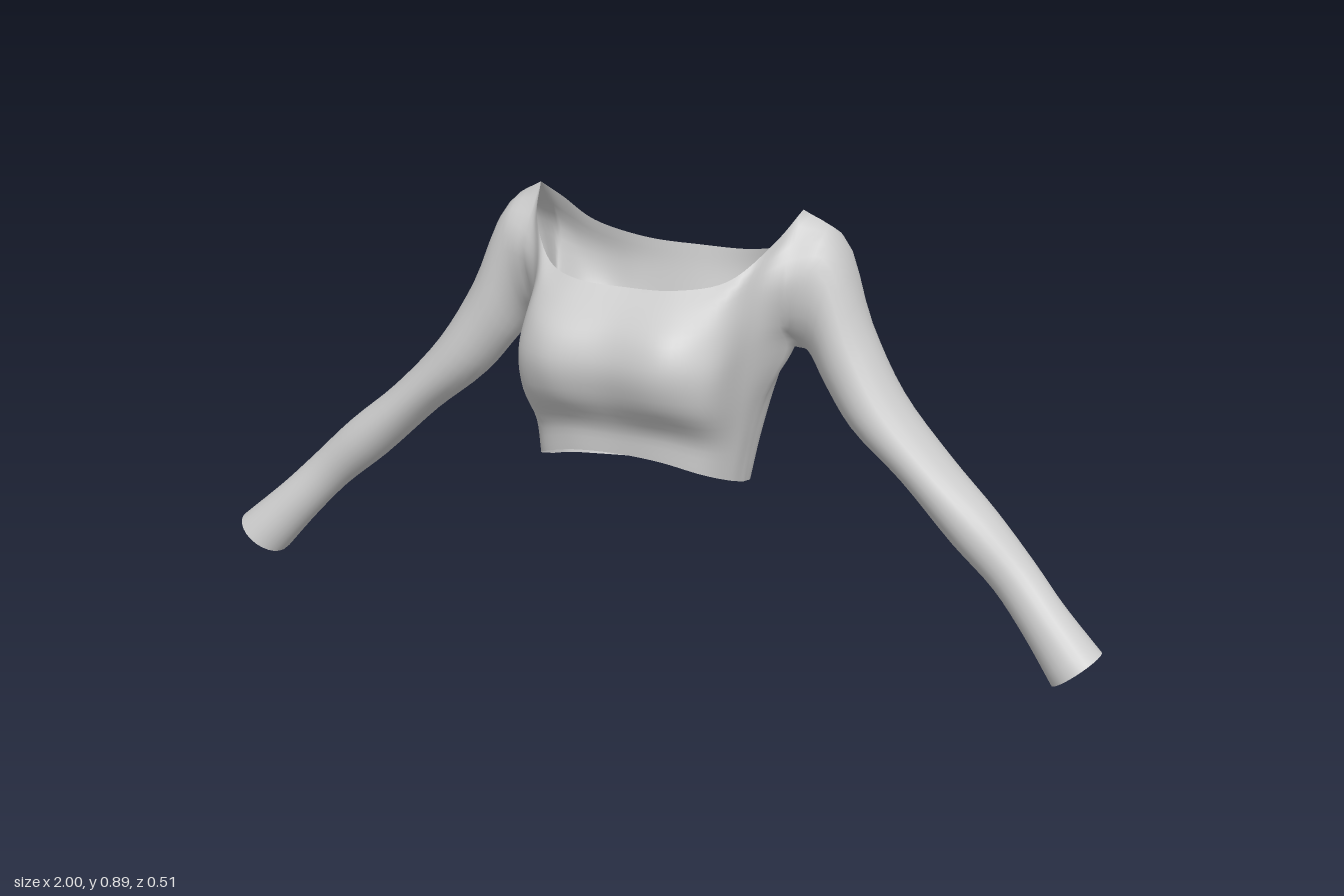
import * as THREE from 'three';
import { mergeVertices, mergeGeometries } from 'three/addons/utils/BufferGeometryUtils.js';

const SEG = 4; // subdivisions between two control rows

// Control rows run from the centre line to the side seam, from hem to neckline.
const FRONT = [
  [[0, .405, .18], [.1, .40, .18], [.18, .375, .15], [.215, .345, .08], [.22, .325, .02]],
  [[0, .46, .185], [.11, .46, .185], [.19, .44, .15], [.225, .42, .07], [.228, .41, 0]],
  [[0, .53, .225], [.12, .53, .235], [.205, .52, .19], [.235, .51, .07], [.245, .50, -.03]],
  [[0, .60, .24], [.13, .60, .25], [.215, .60, .19], [.243, .60, .06], [.29, .60, -.08]],
  [[0, .66, .22], [.13, .66, .23], [.21, .67, .16], [.25, .67, .045], [.29, .66, -.02]],
  [[0, .71, .175], [.12, .71, .18], [.20, .725, .12], [.255, .755, .03], [.30, .77, 0]],
  [[0, .745, .125], [.11, .75, .125], [.20, .765, .07], [.27, .835, -.01], [.30, .89, -.09]],
];
const BACK = [
  [[0, .305, -.105], [.1, .295, -.11], [.17, .295, -.095], [.21, .31, -.04], [.22, .325, .02]],
  [[0, .40, -.14], [.1, .40, -.145], [.18, .40, -.125], [.22, .40, -.07], [.228, .41, 0]],
  [[0, .50, -.175], [.11, .50, -.185], [.19, .50, -.17], [.235, .50, -.11], [.245, .50, -.03]],
  [[0, .59, -.21], [.12, .59, -.22], [.20, .59, -.21], [.25, .595, -.16], [.29, .60, -.08]],
  [[0, .65, -.23], [.13, .65, -.24], [.21, .65, -.235], [.26, .65, -.205], [.295, .66, -.15]],
  [[0, .70, -.245], [.13, .70, -.25], [.22, .715, -.24], [.275, .74, -.215], [.31, .77, -.185]],
  [[0, .745, -.255], [.13, .75, -.25], [.235, .785, -.215], [.28, .845, -.155], [.30, .89, -.09]],
];

// Sleeve stations: upper x, y, lower x, y, back z, front z, cuff flap pull
const SLEEVE = [
  [.37, .845, .325, .585, -.195, -.01, 0],
  [.45, .665, .365, .535, -.165, 0, 0],
  [.53, .53, .43, .455, -.145, .015, 0],
  [.64, .41, .545, .36, -.125, .02, 0],
  [.75, .315, .665, .245, -.095, .03, 0],
  [.84, .225, .76, .165, -.068, .035, 0],
  [.91, .155, .835, .085, -.045, .06, .03],
  [1.0, .075, .905, 0, -.028, .095, .062],
];

const smooth = (points, n) => new THREE.CatmullRomCurve3(points).getPoints(n);

// Resamples every column of a grid with a smooth curve.
function smoothColumns(rows) {
  const n = (rows.length - 1) * SEG;
  const cols = rows[0].map((_, c) => smooth(rows.map((r) => r[c]), n));
  return Array.from({ length: n + 1 }, (_, i) => cols.map((col) => col[i]));
}

// Full-width torso panel from its half control rows.
function panel(net) {
  return smoothColumns(net.map((row) => {
    const half = row.map((p) => new THREE.Vector3(...p));
    const other = half.slice(1).reverse().map((p) => new THREE.Vector3(-p.x, p.y, p.z));
    return smooth([...other, ...half], 48);
  }));
}

const mirror = (rows) => rows.map((r) => r.map((p) => new THREE.Vector3(-p.x, p.y, p.z)).reverse());
const flip = (rows) => rows.map((r) => [...r].reverse());

// Surface through a grid of points
function surface(rows) {
  const w = rows[0].length, index = [];
  for (let i = 0; i < rows.length - 1; i++) {
    for (let j = 0; j < w - 1; j++) {
      const a = i * w + j, d = a + w;
      index.push(a, a + 1, d, a + 1, d + 1, d);
    }
  }
  const g = new THREE.BufferGeometry().setFromPoints(rows.flat());
  g.setIndex(index);
  return g;
}

// Sleeve rings start at the back, pass over the top, the front and the underside.
function sleeveGrid(armhole) {
  const rings = SLEEVE.map(([tx, ty, ux, uy, zb, zf, flap]) => armhole.map((_, j) => {
    const a = -Math.PI / 2 + (j / 24) * Math.PI * 2;
    const k = Math.cos(a) / 2, z = (zf + zb) / 2 + Math.sin(a) * (zf - zb) / 2;
    // the underside flares backwards into the loose flap of the cuff slit
    const pull = flap * Math.max(0, (j - 18) / 6);
    return new THREE.Vector3((tx + ux) / 2 + k * (tx - ux), (ty + uy) / 2 + k * (ty - uy), z - pull);
  }));
  return smoothColumns([armhole, ...rings]);
}

export function createModel() {
  const group = new THREE.Group();
  group.name = 'croppedTop';

  const front = panel(FRONT), back = panel(BACK);
  const last = front[0].length - 1, under = 3 * SEG, top = 6 * SEG, mid = (under + top) / 2;

  // Join the side seams below the underarm
  for (let i = 0; i <= under; i++) {
    for (const c of [0, last]) {
      front[i][c].lerp(back[i][c], 0.5);
      back[i][c].copy(front[i][c]);
    }
  }

  // Armhole loop, starting and ending at the middle of the back
  const armhole = [];
  for (let i = mid; i <= top; i++) armhole.push(back[i][last]);
  for (let i = top - 1; i >= under; i--) armhole.push(front[i][last]);
  for (let i = under + 1; i <= mid; i++) armhole.push(back[i][last]);
  const sleeve = sleeveGrid(armhole);

  // Torso and sleeves form one continuous cloth
  const parts = [front, flip(back), sleeve, mirror(sleeve)].map(surface);
  const cloth = mergeVertices(mergeGeometries(parts), 1e-4);
  cloth.computeVertexNormals();
  const mesh = new THREE.Mesh(cloth, new THREE.MeshStandardMaterial({
    color: 0xcccccc, side: THREE.DoubleSide,
  }));
  mesh.name = 'bodiceWithSleeves';
  group.add(mesh);
  return group;
}
